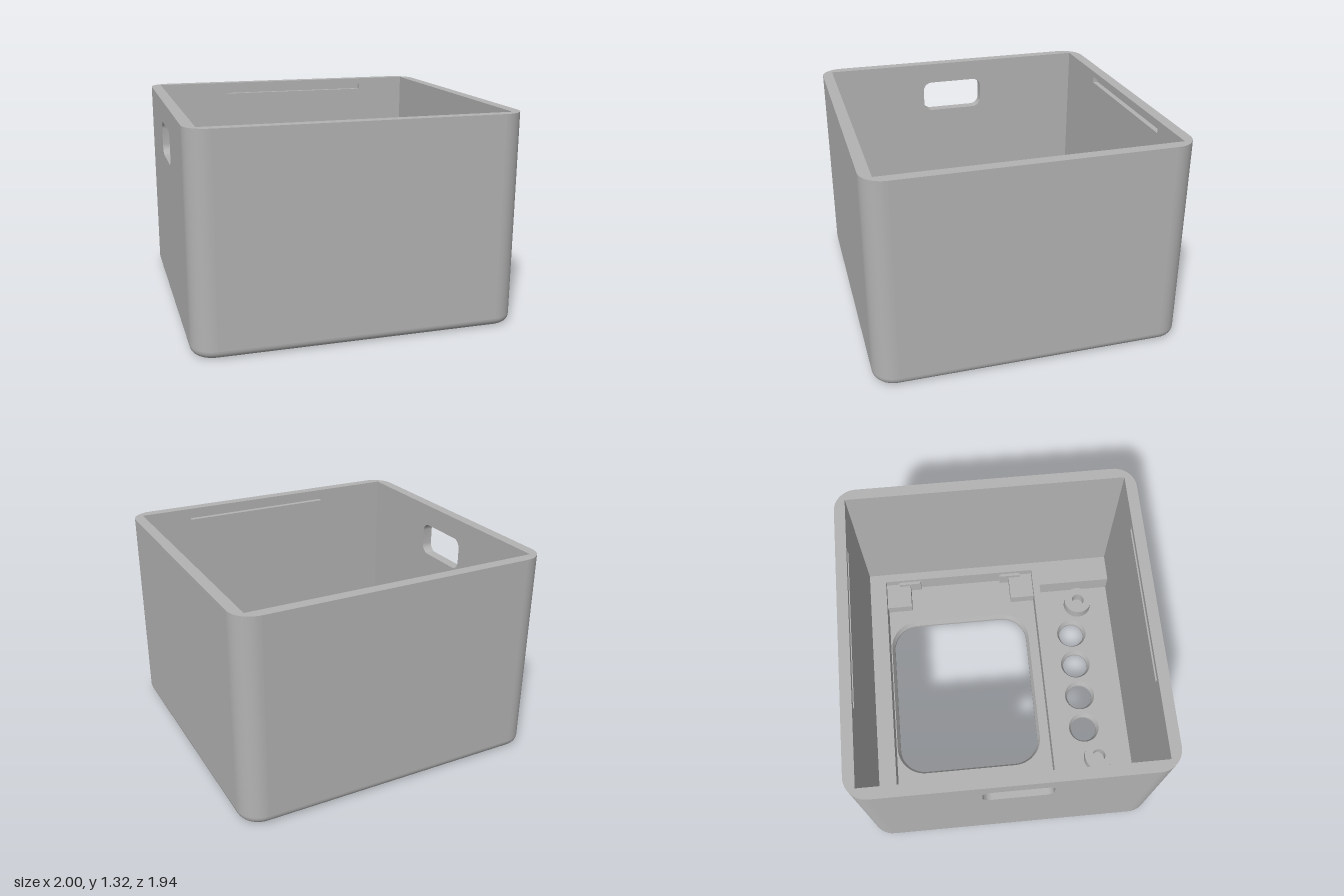
import * as THREE from 'three';
import { toCreasedNormals } from 'three/addons/utils/BufferGeometryUtils.js';

const W = 1, D = 0.97, H = 1.32;        // half width, half depth, height
const T = 0.07, R = 0.14, F = 0.05;     // wall thickness, corner radius, bottom fillet
const PLATE = 0.06, FLOOR = 0.2;        // panel thickness, top of the pocketed floor

// Points round a rounded rectangle
function ring(x0, x1, y0, y1, r, n = 10) {
  const pts = [];
  const corners = [[x1 - r, y1 - r], [x0 + r, y1 - r], [x0 + r, y0 + r], [x1 - r, y0 + r]];
  corners.forEach(([cx, cy], q) => {
    for (let i = 0; i <= n; i++) {
      const a = (q + i / n) * Math.PI / 2;
      pts.push(new THREE.Vector2(cx + r * Math.cos(a), cy + r * Math.sin(a)));
    }
  });
  return pts;
}

const rect = (x0, x1, y0, y1) => [[x0, y0], [x1, y0], [x1, y1], [x0, y1]].map(p => new THREE.Vector2(...p));
const disc = (x, z, r) => ring(x - r, x + r, z - r, z + r, r);

// Flat outline with holes, extruded along z
function slab(outline, holes, depth) {
  const shape = new THREE.Shape(outline);
  holes.forEach(h => shape.holes.push(new THREE.Path(h)));
  const g = new THREE.ExtrudeGeometry(shape, { depth, bevelEnabled: false });
  return toCreasedNormals(g, 0.5);
}

// Outline in x and z, extruded from y0 to y1
const plan = (outline, holes, y0, y1) => slab(outline, holes, y1 - y0).rotateX(Math.PI / 2).translate(0, y1, 0);

// Smooth skin through rings of [points, y]; rising rings face outward
function loft(rings) {
  const n = rings[0][0].length, pos = [], idx = [];
  rings.forEach(([pts, y]) => pts.forEach(p => pos.push(p.x, y, p.y)));
  for (let k = 0; k < rings.length - 1; k++) {
    for (let i = 0; i < n; i++) {
      const a = k * n + i, b = k * n + (i + 1) % n;
      idx.push(a, a + n, b, b, a + n, b + n);
    }
  }
  const g = new THREE.BufferGeometry();
  g.setAttribute('position', new THREE.Float32BufferAttribute(pos, 3));
  g.setIndex(idx);
  g.computeVertexNormals();
  return g;
}

export function createModel() {
  const model = new THREE.Group();
  model.name = 'enclosure';
  const grey = new THREE.MeshStandardMaterial({ color: 0xb3b3b3 });
  grey.name = 'grey plastic';
  const add = (name, geometry) => {
    const mesh = new THREE.Mesh(geometry, grey);
    mesh.name = name;
    model.add(mesh);
    return mesh;
  };

  // Rounded bottom edge
  const fillet = [];
  for (let k = 0; k <= 8; k++) {
    const a = k / 8 * Math.PI / 2, inset = F * (1 - Math.sin(a));
    fillet.push([ring(-W + inset, W - inset, -D + inset, D - inset, R - inset), F * (1 - Math.cos(a))]);
  }
  add('bottomFillet', loft(fillet));

  // Panel with a large opening and four button holes, each widening inward
  const openings = grow => [
    ring(-0.58 - grow, 0.565 + grow, -0.755 - grow, 0.245 + grow, 0.18 + grow),
    ...[-0.365, -0.118, 0.13, 0.378].map(x => disc(x, 0.59, 0.09 + grow)),
  ];
  const small = openings(0), large = openings(0.018);
  const base = ring(-W + F, W - F, -D + F, D - F, R - F);
  add('panelOuterLayer', plan(base, small, 0, 0.02));
  add('panelInnerLayer', plan(base, large, 0.02, PLATE));
  small.forEach((s, i) => add(i ? 'buttonHoleEdge' : 'openingEdge', loft([[large[i], PLATE], [s, 0.02]])));

  // Raised floor with a screen pocket and a button pocket
  add('pocketFloor', plan(rect(-0.95, 0.95, -0.93, 0.93),
    [rect(-0.8, 0.87, -0.78, 0.33), rect(-0.73, 0.74, 0.38, 0.91)], PLATE, FLOOR));

  // Supports and tabs at two corners of the screen pocket
  [[-0.78, -0.6, -0.68, -0.52], [0.155, 0.33, 0.085, 0.24]].forEach(([a, b, c, d]) => {
    add('cornerSupport', plan(rect(0.68, 0.87, a, b), [], PLATE, 0.14));
    add('cornerTab', plan(rect(0.85, 0.87, c, d), [], PLATE, 0.17));
  });

  // Screw posts
  for (const x of [-0.603, 0.61]) {
    add('screwPost', plan(disc(x, 0.66, 0.1), [disc(x, 0.66, 0.045)], PLATE, 0.15));
  }

  // Rounded corner columns
  for (const sx of [-1, 1]) for (const sz of [-1, 1]) {
    const pts = [[W - R, D - T], [W - T, D - T], [W - T, D - R]].map(p => new THREE.Vector2(...p));
    for (let i = 0; i <= 12; i++) {
      const a = i / 12 * Math.PI / 2;
      pts.push(new THREE.Vector2(W - R + R * Math.cos(a), D - R + R * Math.sin(a)));
    }
    pts.forEach(p => p.set(p.x * sx, p.y * sz));
    add('wallCorner', plan(pts, [], F, H));
  }

  // Side walls, one with a rounded cable window
  const side = rect(-(D - R), D - R, F, H);
  const cableWindow = ring(-0.19, 0.24, 0.965, 1.18, 0.06);
  add('rightWall', slab(side, [cableWindow], T).rotateY(-Math.PI / 2).translate(-W + T, 0, 0));
  add('leftWall', slab(side, [], T).rotateY(-Math.PI / 2).translate(W, 0, 0));

  // Front and back walls, each an outer skin and an inner skin with a lid groove
  const wide = rect(-(W - R), W - R, F, H);
  const groove = rect(-0.44, 0.59, 1.24, 1.28);
  for (const [name, s] of [['front', 1], ['back', -1]]) {
    add(name + 'WallSkin', slab(wide, [], T / 2).translate(0, 0, s > 0 ? D - T / 2 : -D));
    add(name + 'WallGroove', slab(wide, [groove], T / 2).translate(0, 0, s > 0 ? D - T : -D + T / 2));
  }
  return model;
}
